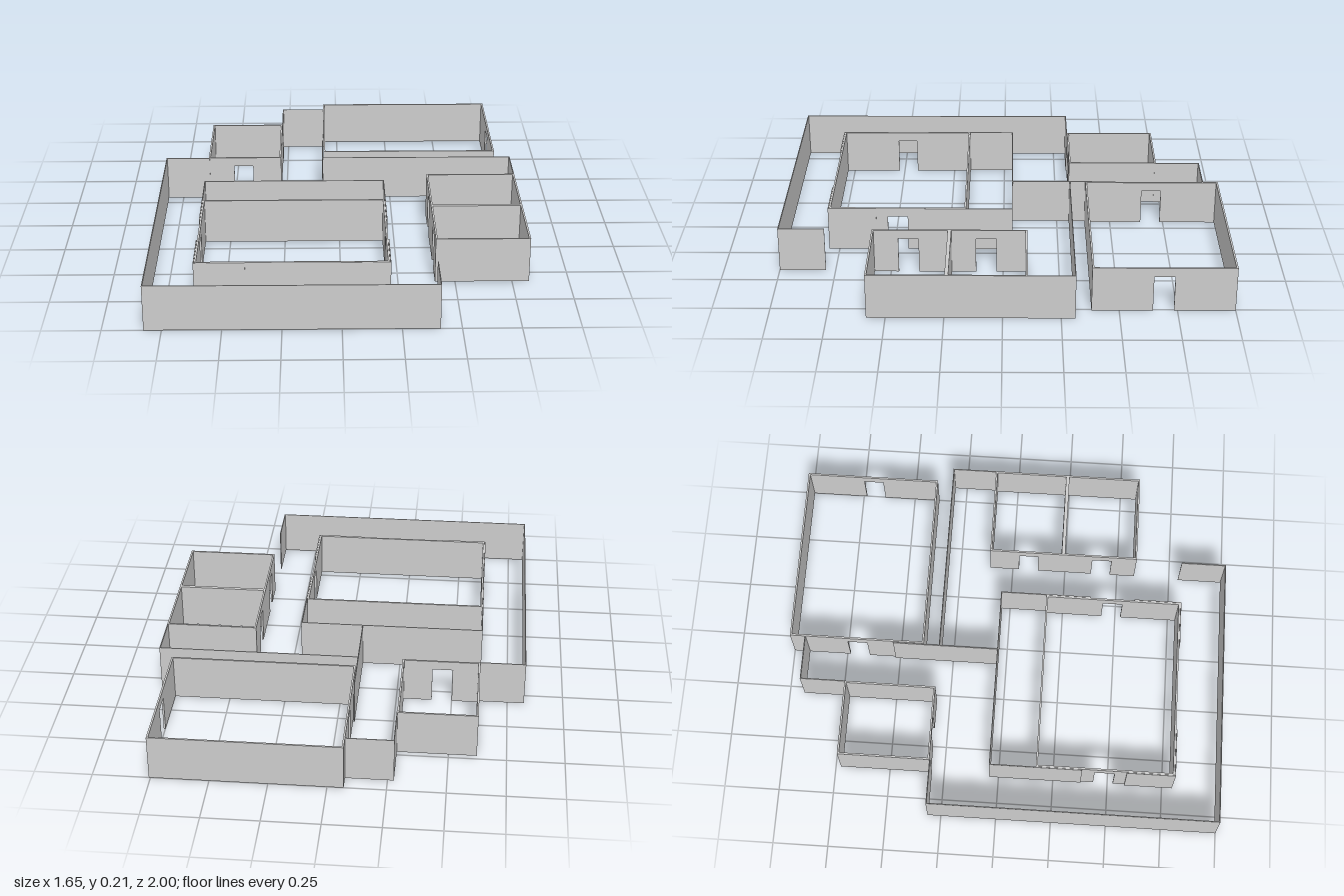
import * as THREE from 'three';

const HEIGHT = 0.207, DOOR_W = 0.09, DOOR_H = 0.165;
const THICK = 0.008, THIN = 0.004;
const material = new THREE.MeshStandardMaterial({ color: 0xcccccc, flatShading: true });

// Upright wall between two floor points; door = distance of the doorway centre from the first point
function wall(name, [x1, z1], [x2, z2], t = THIN, door = null) {
  const length = Math.hypot(x2 - x1, z2 - z1), e = t / 2;
  const s = new THREE.Shape();
  s.moveTo(-e, 0);
  if (door !== null) {
    s.lineTo(door - DOOR_W / 2, 0);
    s.lineTo(door - DOOR_W / 2, DOOR_H);
    s.lineTo(door + DOOR_W / 2, DOOR_H);
    s.lineTo(door + DOOR_W / 2, 0);
  }
  s.lineTo(length + e, 0);
  s.lineTo(length + e, HEIGHT);
  s.lineTo(-e, HEIGHT);
  const geo = new THREE.ExtrudeGeometry(s, { depth: t, bevelEnabled: false });
  geo.translate(0, 0, -e);
  const mesh = new THREE.Mesh(geo, material);
  mesh.name = name;
  mesh.position.set(x1, 0, z1);
  mesh.rotation.y = -Math.atan2(z2 - z1, x2 - x1);
  return mesh;
}

// Chain of walls through a list of floor points
function wallRun(name, points, t = THIN) {
  const run = new THREE.Group();
  run.name = name;
  for (let i = 1; i < points.length; i++) run.add(wall(`${name}Wall${i}`, points[i - 1], points[i], t));
  return run;
}

// Four-sided room; doors gives the z of a doorway in the west/east walls or the x in north/south
function room(name, x1, x2, z1, z2, doors = {}) {
  const g = new THREE.Group();
  g.name = name;
  const at = (side, start) => (side in doors ? doors[side] - start : null);
  g.add(
    wall('northWall', [x1, z1], [x2, z1], THICK, at('north', x1)),
    wall('southWall', [x1, z2], [x2, z2], THICK, at('south', x1)),
    wall('westWall', [x1, z1], [x1, z2], THICK, at('west', z1)),
    wall('eastWall', [x2, z1], [x2, z2], THICK, at('east', z1)),
  );
  return g;
}

export function createModel() {
  const model = new THREE.Group();
  model.name = 'floorPlan';

  // Enclosed rooms
  model.add(
    room('backHall', -0.066, 0.753, -0.996, -0.385, { west: -0.69, east: -0.69 }),
    room('backStore', -0.618, -0.279, -0.723, -0.315, { south: -0.455 }),
    room('mainHall', -0.618, 0.201, 0.173, 0.788, { west: 0.48, east: 0.48 }),
    room('sideRoomBack', 0.416, 0.821, -0.103, 0.233, { west: 0.075 }),
    room('sideRoomFront', 0.416, 0.821, 0.241, 0.578, { west: 0.42 }),
  );

  // Outer shell of the main hall, left open around its doors
  model.add(
    wallRun('hallShellBack', [[-0.625, 0.375], [-0.625, -0.04], [0.208, -0.04], [0.208, 0.375]]),
    wallRun('hallShellFrontRight', [[-0.625, 0.58], [-0.625, 0.795], [-0.41, 0.795]]),
    wallRun('hallShellFrontLeft', [[0.208, 0.58], [0.208, 0.795], [0, 0.795]]),
  );

  // Corridor walls round the outside
  model.add(
    wallRun('outerCorridor', [[-0.62, -0.309], [-0.823, -0.309], [-0.823, 0.998], [0.408, 0.998], [0.408, 0.795]]),
    wallRun('sideCorridor', [[-0.073, -0.309], [0.823, -0.309], [0.823, -0.103]]),
    wallRun('corridorDivider', [[-0.075, -0.52], [-0.075, -0.04]]),
    wallRun('backPassage', [[-0.275, -0.723], [-0.275, -0.93], [-0.072, -0.93]]),
  );
  return model;
}
